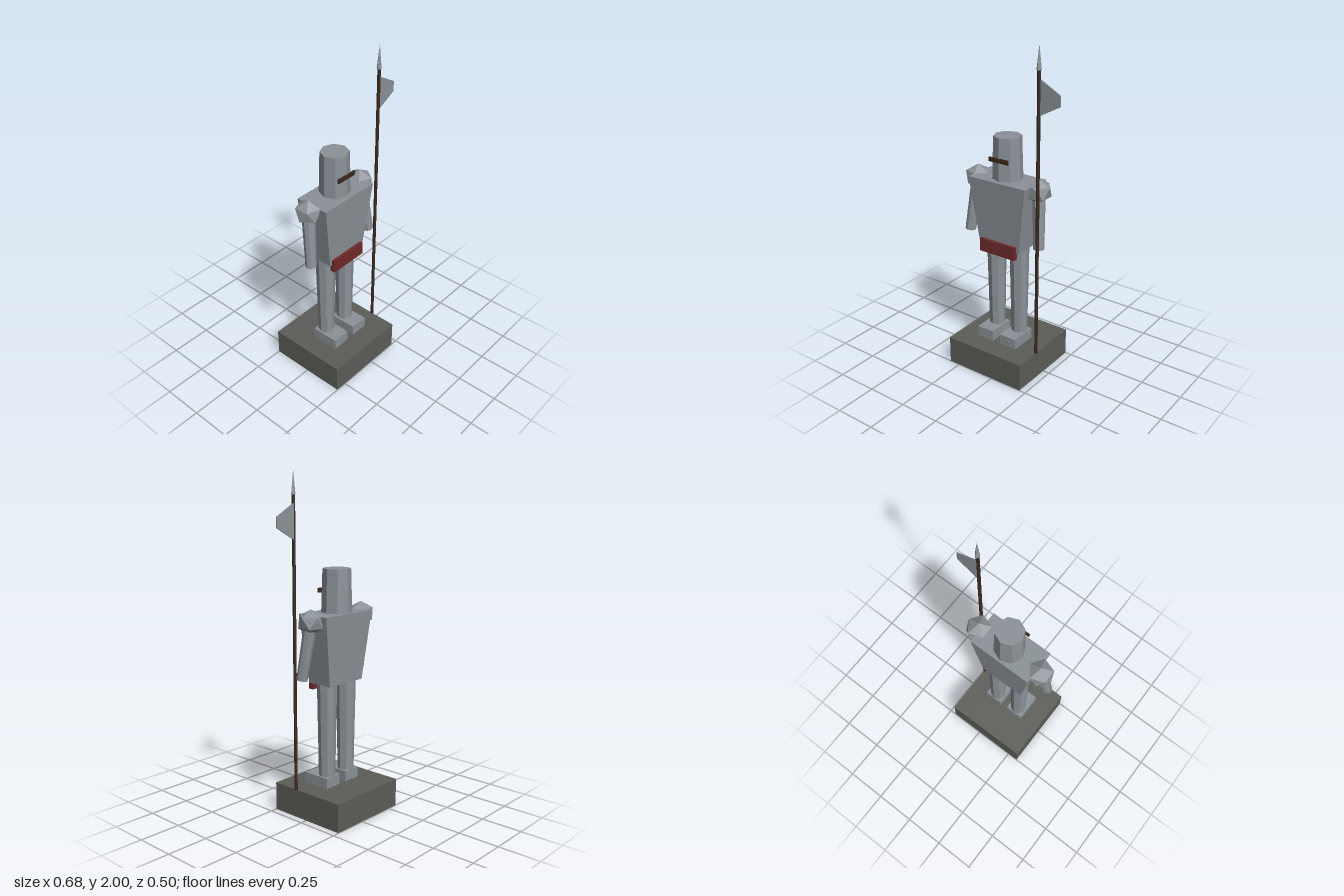
import * as THREE from 'three';

export function createModel() {
  const model = new THREE.Group();
  model.name = 'knightStatue';

  const mat = (name, color) => {
    const m = new THREE.MeshStandardMaterial({ color, flatShading: true });
    m.name = name;
    return m;
  };
  const steel = mat('steel', 0x8a9196);
  const stone = mat('stone', 0x5c5d57);
  const red = mat('redCloth', 0x702a2a);
  const wood = mat('darkWood', 0x3a291d);

  const CX = -0.055; // centre line of the figure

  const add = (name, geometry, material, x, y, z) => {
    const mesh = new THREE.Mesh(geometry, material);
    mesh.name = name;
    mesh.position.set(x, y, z);
    model.add(mesh);
    return mesh;
  };
  const box = (w, h, d) => new THREE.BoxGeometry(w, h, d);

  // Plinth
  add('plinth', box(0.527, 0.17, 0.497), stone, CX, 0.085, 0);

  // Torso: a box narrowed towards the waist
  const torso = box(0.394, 0.41, 0.212);
  const p = torso.attributes.position;
  for (let i = 0; i < p.count; i++) {
    if (p.getY(i) < 0) {
      p.setX(i, p.getX(i) * 0.71);
      p.setZ(i, p.getZ(i) * 0.76);
    }
  }
  add('torso', torso, steel, CX, 0.995, 0.007);

  // Helmet and eye slit
  add('helmet', new THREE.CylinderGeometry(0.082, 0.09, 0.26, 8), steel, CX, 1.322, 0);
  add('eyeSlit', box(0.133, 0.026, 0.009), wood, CX, 1.323, 0.0855);

  // Cloth plate at the waist
  add('waistCloth', box(0.247, 0.08, 0.03), red, CX - 0.002, 0.788, 0.093);

  // Shoulder: icosahedron standing on one corner, slightly flattened
  const shoulder = new THREE.IcosahedronGeometry(0.082, 0);
  shoulder.rotateZ(-Math.atan(2 / (1 + Math.sqrt(5))));
  shoulder.scale(1, 0.89, 1);

  const up = new THREE.Vector3(0, 1, 0);
  for (const [side, s] of [['left', 1], ['right', -1]]) {
    // Leg and foot
    add(side + 'Leg', new THREE.CylinderGeometry(0.059, 0.048, 0.6, 8), steel, CX + s * 0.083, 0.5, 0);
    add(side + 'Foot', box(0.114, 0.064, 0.172), steel, CX + s * 0.083, 0.202, 0.037);

    add(side + 'Shoulder', shoulder, steel, CX + s * 0.214, 1.167, 0);

    // Arm leaning outwards and forwards
    const top = new THREE.Vector3(CX + s * 0.214, 1.18, -0.002);
    const hand = new THREE.Vector3(CX + s * 0.248, 0.833, 0.042);
    const dir = top.clone().sub(hand);
    const mid = top.clone().add(hand).multiplyScalar(0.5);
    const arm = add(side + 'Arm', new THREE.CylinderGeometry(0.039, 0.032, dir.length(), 8), steel, mid.x, mid.y, mid.z);
    arm.quaternion.setFromUnitVectors(up, dir.normalize());
  }

  // Spear
  const SX = 0.208, SZ = 0.081;
  add('spearShaft', new THREE.CylinderGeometry(0.01, 0.01, 1.7, 6), wood, SX, 1.02, SZ);
  add('spearHead', new THREE.ConeGeometry(0.017, 0.135, 4), steel, SX, 1.9325, SZ);

  // Pennant
  const outline = new THREE.Shape([
    [0, 1.62], [0.132, 1.69], [0.132, 1.75], [0, 1.822],
  ].map(([x, y]) => new THREE.Vector2(x, y)));
  const flag = new THREE.ExtrudeGeometry(outline, { depth: 0.007, bevelEnabled: false });
  add('pennant', flag, steel, SX, 0, 0.0735);

  return model;
}
